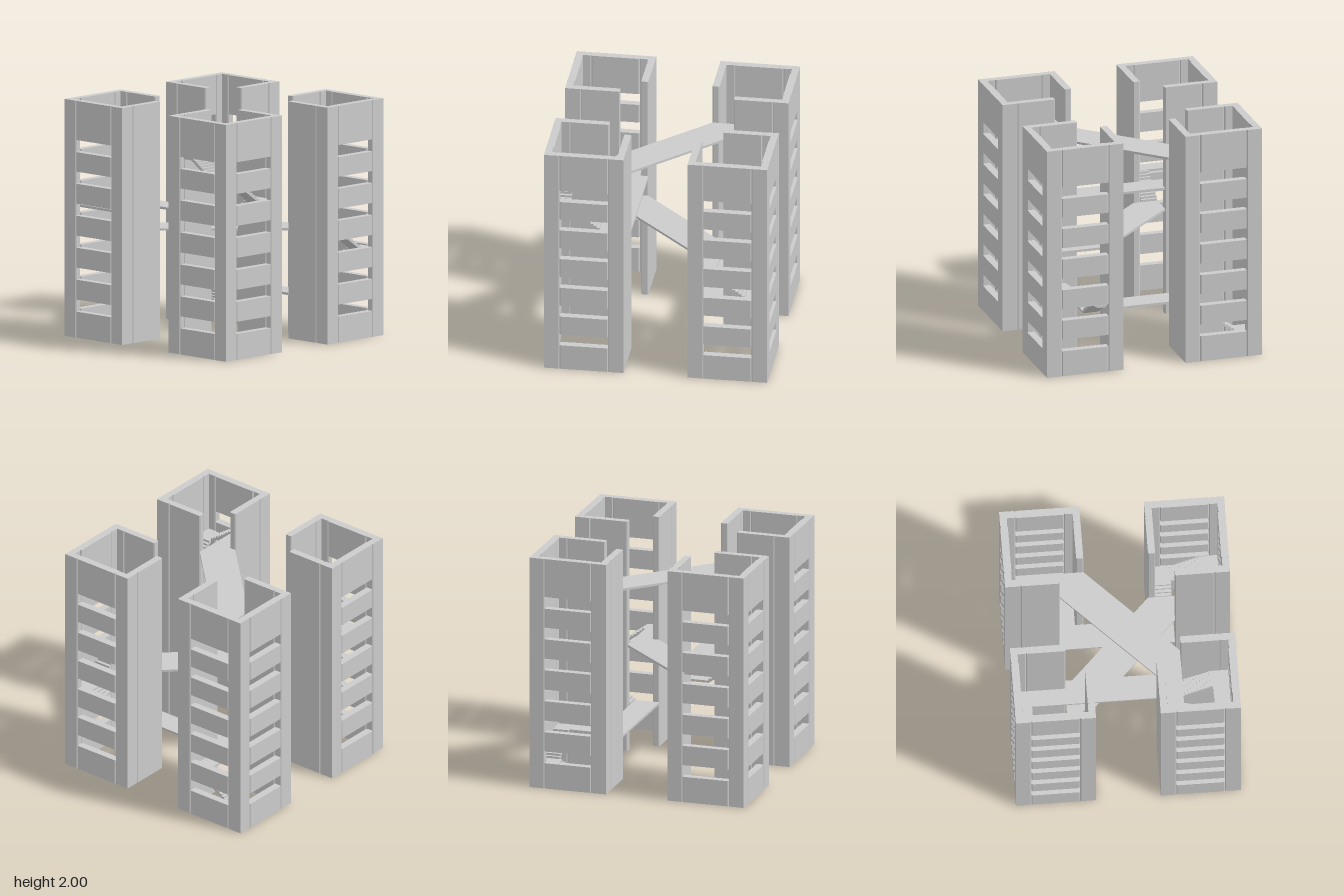
import * as THREE from 'three';

const MAT = new THREE.MeshStandardMaterial({ color: 0xcccccc, flatShading: true });
const IN = 0.27, OUT = 0.94;      // tower footprint in each quadrant
const T = 0.06, ARM = 0.132, C = 0.008; // wall thickness, pier arm, joint chamfer
const H = 2, FLOOR = 0.02;        // tower height, walkway thickness
const RING_IN = 0.34, HOLE_IN = 0.48, HOLE_OUT = 0.74, RING_OUT = 0.88;
const LEVEL = { a: 0.385, b: 0.93, c: 1.115, d: 1.66 };
const STEPS = 10, RUN = HOLE_OUT - HOLE_IN, RISE = (LEVEL.b - LEVEL.a) / 3;
const SLOTS = [0.22, 0.49, 0.76, 1.03, 1.3, 1.567], SLOT_H = 0.102;

function add(group, name, geometry) {
  const mesh = new THREE.Mesh(geometry, MAT);
  mesh.name = name;
  group.add(mesh);
  return mesh;
}

// Upright prism from a plan of [x, z] points
function prism(plan, y0, y1) {
  const shape = new THREE.Shape(plan.map(([x, z]) => new THREE.Vector2(x, -z)));
  const g = new THREE.ExtrudeGeometry(shape, { depth: y1 - y0, bevelEnabled: false });
  return g.rotateX(-Math.PI / 2).translate(0, y0, 0);
}

// Flat slab given by its plan rectangle and top level
function deck(group, name, x0, x1, z0, z1, top) {
  const g = new THREE.BoxGeometry(x1 - x0, FLOOR, z1 - z0);
  add(group, name, g.translate((x0 + x1) / 2, top - FLOOR / 2, (z0 + z1) / 2));
}

// Walls of one tower; sx and sz choose the quadrant
function towerShell(sx, sz) {
  const tower = new THREE.Group();
  const place = (plan, swap) => plan.map(([u, v]) => (swap ? [sx * v, sz * u] : [sx * u, sz * v]));

  // L-shaped corner piers, none at the open inner corner
  const L = ARM;
  const pier = [[0, 0], [L - C, 0], [L, C], [L, T - C], [L - C, T], [T, T],
    [T, L - C], [T - C, L], [C, L], [0, L - C]];
  for (const [cx, cz] of [[OUT, OUT], [OUT, IN], [IN, OUT]]) {
    const plan = pier.map(([u, v]) => [cx === OUT ? OUT - u : IN + u, cz === OUT ? OUT - v : IN + v]);
    add(tower, 'cornerPier', prism(place(plan), 0, H));
  }

  // Panel plan running from u0 to u1, chamfered at the joints
  const panel = (u0, u1, v0, v1) => [[u0 + C, v0], [u1 - C, v0], [u1, v0 + C], [u1, v1 - C],
    [u1 - C, v1], [u0 + C, v1], [u0, v1 - C], [u0, v0 + C]];
  for (const swap of [false, true]) {
    // Solid inner wall, stopping short of the entrance
    add(tower, 'innerWall', prism(place(panel(HOLE_IN, OUT - ARM, IN, IN + T), swap), 0, H));
    // Outer wall bands between the window slots
    const plan = place(panel(IN + ARM, OUT - ARM, OUT - T - 0.004, OUT), swap);
    let y = 0;
    for (const s of [...SLOTS, H]) {
      add(tower, 'outerWallBand', prism(plan, y, s));
      y = s + SLOT_H;
    }
  }
  return tower;
}

// Stair flight between two ring corners, rising one level from y0
function flight(group, [ax, az], [bx, bz], y0) {
  const pts = [[0, y0 - FLOOR]];
  for (let i = 0; i < STEPS; i++) {
    const y = y0 + ((i + 1) * RISE) / STEPS;
    pts.push([(i * RUN) / STEPS, y], [((i + 1) * RUN) / STEPS, y]);
  }
  pts.push([RUN, y0 + RISE - FLOOR]);
  const shape = new THREE.Shape(pts.map(([x, y]) => new THREE.Vector2(x, y)));
  const w = RING_OUT - HOLE_OUT;
  const g = new THREE.ExtrudeGeometry(shape, { depth: w, bevelEnabled: false });
  g.translate(-RUN / 2, 0, -w / 2);
  const mesh = add(group, 'stairFlight', g);
  mesh.position.set((ax + bx) / 2, 0, (az + bz) / 2);
  mesh.rotation.y = Math.atan2(az - bz, bx - ax);
}

// Flights through successive ring corners with a landing at each turn
function staircase(group, corners, y0) {
  for (let i = 0; i + 1 < corners.length; i++) {
    flight(group, corners[i], corners[i + 1], y0 + i * RISE);
    if (i === 0) continue;
    const [x, z] = corners[i];
    deck(group, 'landing', x - 0.07, x + 0.07, z - 0.07, z + 0.07, y0 + i * RISE);
  }
}

// Diagonal bridge between opposite towers, ending in their inner corners
function diagonalBridge(group, s, top) {
  const half = [[IN, HOLE_IN], [HOLE_IN, HOLE_IN], [HOLE_IN, IN]];
  const plan = [...half, ...half.map(([x, z]) => [-x, -z])].map(([x, z]) => [s * x, z]);
  add(group, 'diagonalBridge', prism(plan, top - FLOOR, top));
}

export function createModel() {
  const model = new THREE.Group();
  model.name = 'towerCluster';
  const names = { '1,1': 'frontLeftTower', '-1,1': 'frontRightTower', '1,-1': 'backLeftTower', '-1,-1': 'backRightTower' };
  const towers = {};
  for (const sx of [1, -1]) for (const sz of [1, -1]) {
    const t = towerShell(sx, sz);
    t.name = names[`${sx},${sz}`];
    towers[t.name] = t;
    model.add(t);
  }
  const n = (RING_IN + HOLE_IN) / 2, f = (HOLE_OUT + RING_OUT) / 2; // near and far ring corners

  // Three flights, then a level walkway back to the entrance
  const fl = towers.frontLeftTower;
  staircase(fl, [[n, n], [f, n], [f, f], [n, f]], LEVEL.a);
  deck(fl, 'walkway', RING_IN, HOLE_IN, HOLE_IN, RING_OUT, LEVEL.b);

  const fr = towers.frontRightTower;
  staircase(fr, [[-n, n], [-n, f], [-f, f], [-f, n]], LEVEL.c);
  deck(fr, 'walkway', -RING_OUT, -HOLE_IN, RING_IN, HOLE_IN, LEVEL.d);

  // One flight, then a level ring on three sides
  const br = towers.backRightTower;
  staircase(br, [[-n, -n], [-f, -n]], LEVEL.b);
  deck(br, 'walkway', -RING_OUT, -HOLE_OUT, -RING_OUT, -RING_IN, LEVEL.c);
  deck(br, 'walkway', -HOLE_OUT, -HOLE_IN, -RING_OUT, -0.77, LEVEL.c);
  deck(br, 'walkway', -HOLE_IN, -RING_IN, -RING_OUT, -HOLE_IN, LEVEL.c);

  // Two flights up from the ground to the lowest bridge
  const bl = towers.backLeftTower;
  staircase(bl, [[n, -f], [f, -f], [f, -n]], LEVEL.a - 2 * RISE);
  deck(bl, 'walkway', HOLE_IN, RING_OUT, -HOLE_IN, -RING_IN, LEVEL.a);

  // Bridges
  deck(model, 'leftBridge', IN, HOLE_IN, -HOLE_IN, HOLE_IN, LEVEL.a);
  deck(model, 'rightBridge', -HOLE_IN, -IN, -HOLE_IN, HOLE_IN, LEVEL.c);
  diagonalBridge(model, 1, LEVEL.b);
  diagonalBridge(model, -1, LEVEL.d);
  return model;
}
